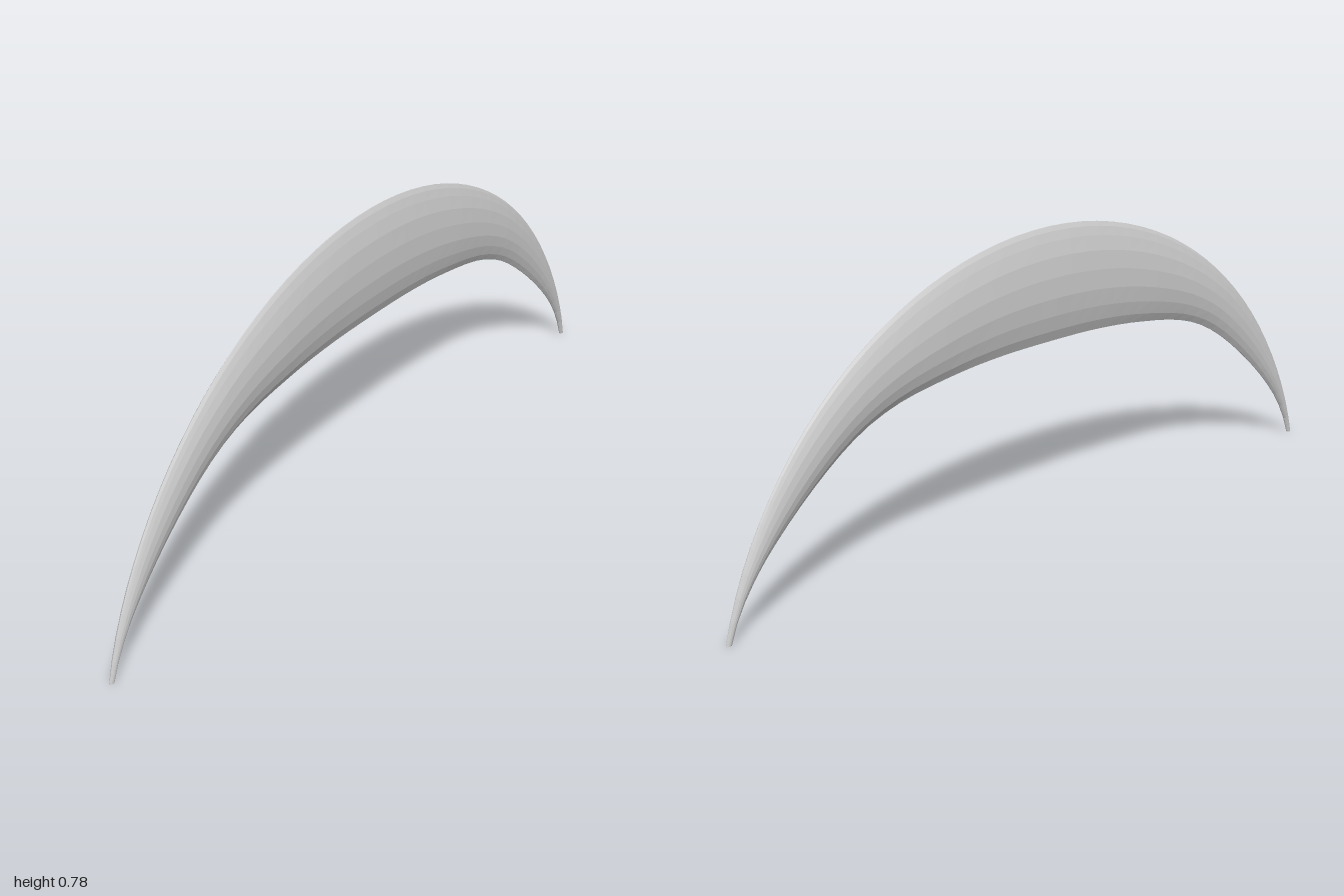
import * as THREE from 'three';

const STATIONS = 48; // sections from tip to tip
const RADIUS = 1.03, CENTRE_Y = -0.25, SWEEP = Math.acos(0.25 / 1.03);

// Right half of the concave edge, middle to tip
const half = [[0, 0.488], [0.17, 0.485], [0.32, 0.472], [0.5, 0.44], [0.62, 0.39],
  [0.77, 0.28], [0.9, 0.15], [0.96, 0.06], [0.983, 0]];
const mirrored = half.slice(1).reverse().map(([x, y]) => [-x, y]);
const innerEdge = new THREE.CatmullRomCurve3(
  [...mirrored, ...half].map(([x, y]) => new THREE.Vector3(x, y, 0)));

// Half thickness of the blade, middle to tip
const thickness = new THREE.SplineCurve([[0, 0.03], [0.3, 0.029], [0.5, 0.024], [0.7, 0.018],
  [0.85, 0.0135], [0.95, 0.008], [1, 0.005]].map(p => new THREE.Vector2(...p)));

// Lens section: [position from outer to inner edge, share of half thickness]
const side = [[0, 0.04], [0.04, 0.25], [0.12, 0.5], [0.25, 0.8], [0.42, 0.98], [0.6, 1],
  [0.76, 0.82], [0.9, 0.5], [1, 0.08]];
const section = [...side, ...side.slice().reverse().map(([t, z]) => [t, -z])];

function thicknessAt(d) {
  const p = thickness.points;
  let i = 1;
  while (i < p.length - 1 && p[i].x < d) i++;
  return THREE.MathUtils.mapLinear(d, p[i - 1].x, p[i].x, p[i - 1].y, p[i].y);
}

function crescentGeometry() {
  const pos = [], index = [], n = section.length;
  for (let i = 0; i <= STATIONS; i++) {
    const u = i / STATIONS, a = (2 * u - 1) * SWEEP;
    const outer = new THREE.Vector3(RADIUS * Math.sin(a), CENTRE_Y + RADIUS * Math.cos(a), 0);
    const inner = innerEdge.getPointAt(u);
    const w = thicknessAt(Math.abs(2 * u - 1));
    for (const [t, z] of section) {
      const p = outer.clone().lerp(inner, t);
      pos.push(p.x, p.y, z * w);
    }
  }
  // Skin between neighbouring sections
  for (let i = 0; i < STATIONS; i++) {
    for (let j = 0; j < n; j++) {
      const a = i * n + j, b = i * n + (j + 1) % n, c = a + n, d = b + n;
      index.push(a, b, c, b, d, c);
    }
  }
  // Caps at the two tips
  const last = STATIONS * n;
  for (let j = 1; j < n - 1; j++) {
    index.push(0, j + 1, j, last, last + j, last + j + 1);
  }
  const g = new THREE.BufferGeometry();
  g.setAttribute('position', new THREE.Float32BufferAttribute(pos, 3));
  g.setIndex(index);
  g.computeVertexNormals();
  return g;
}

export function createModel() {
  const group = new THREE.Group();
  group.name = 'crescent';
  const blade = new THREE.Mesh(crescentGeometry(),
    new THREE.MeshStandardMaterial({ color: 0xcccccc, flatShading: true }));
  blade.name = 'crescentBlade';
  group.add(blade);
  return group;
}
